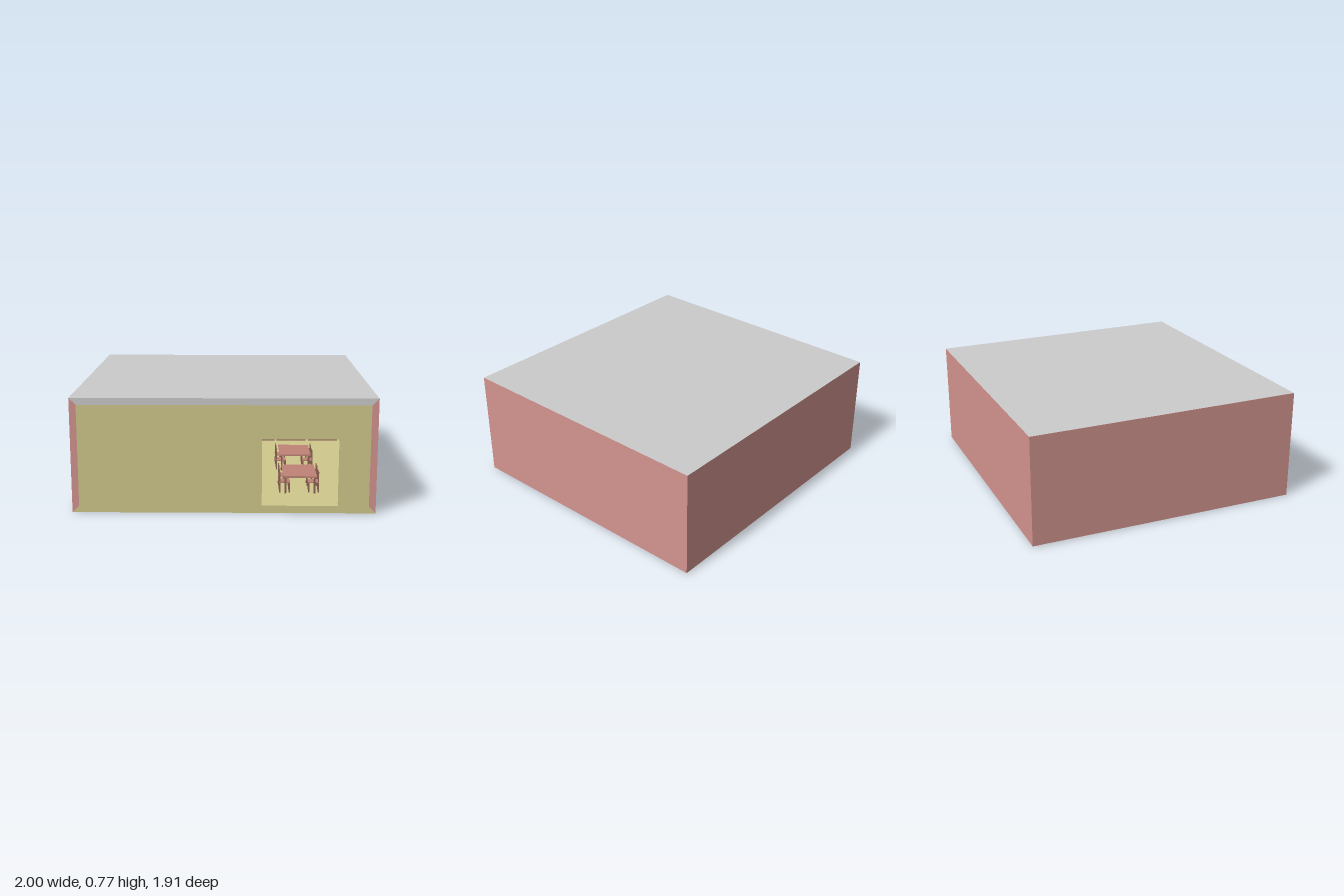
import * as THREE from 'three';
import { mergeGeometries } from 'three/addons/utils/BufferGeometryUtils.js';

const mat = (color) => new THREE.MeshStandardMaterial({ color, side: THREE.DoubleSide });
const PLAIN = mat(0xcccccc), PINK = mat(0xd49590), SAND = mat(0xd0c88c);
const WOOD = mat(0x8f6455), TOP = mat(0xc08478), DARK = mat(0x505860);
const BOOKS = [0x8fc49a, 0x8cc8d0, 0xc83c50, 0xa8b048, 0xb04c8c, 0xb8b8b8, 0xd89050, 0x58a878];

// Half width, height, half depth and wall thickness of the room
const W = 1, H = 0.77, D = 0.955, T = 0.045;

function add(parent, name, geometry, material) {
  const mesh = new THREE.Mesh(geometry, material);
  mesh.name = name;
  parent.add(mesh);
  return mesh;
}

function box(w, h, d, x, y, z) {
  return new THREE.BoxGeometry(w, h, d).translate(x, y, z);
}

// The room narrows very slightly towards the back
function taper(geometry) {
  const p = geometry.attributes.position;
  for (let i = 0; i < p.count; i++) {
    const t = (D - p.getZ(i)) / (2 * D);
    p.setX(i, p.getX(i) * (1 - 0.0065 * t));
    p.setY(i, H / 2 + (p.getY(i) - H / 2) * (1 - 0.02 * t));
  }
  geometry.computeVertexNormals();
  return geometry;
}

// Slab with mitred long edges, also mitred where it meets the back wall
function slab(points) {
  const shape = new THREE.Shape(points.map(([x, y]) => new THREE.Vector2(x, y)));
  const g = new THREE.ExtrudeGeometry(shape, { depth: 2 * D, bevelEnabled: false }).translate(0, 0, -D);
  const p = g.attributes.position;
  for (let i = 0; i < p.count; i++) {
    const inner = Math.abs(p.getX(i)) < W - T / 2 && Math.abs(p.getY(i) - H / 2) < H / 2 - T / 2;
    if (inner && p.getZ(i) < 0) p.setZ(i, -D + T);
  }
  return taper(g);
}

function buildShell(room) {
  const xi = W - T, yi = H - T;
  add(room, 'floor', slab([[-W, 0], [W, 0], [xi, T], [-xi, T]]), SAND);
  add(room, 'roof', slab([[-xi, yi], [xi, yi], [W, H], [-W, H]]), PLAIN);
  add(room, 'leftWall', slab([[W, 0], [W, H], [xi, yi], [xi, T]]), PINK);
  add(room, 'rightWall', slab([[-W, H], [-W, 0], [-xi, T], [-xi, yi]]), PINK);

  // Back wall, smaller on its inner side
  const back = box(2 * W, H, T, 0, H / 2, -D + T / 2);
  const p = back.attributes.position;
  for (let i = 0; i < p.count; i++) {
    if (p.getZ(i) < -D + T / 2) continue;
    p.setX(i, Math.sign(p.getX(i)) * xi);
    p.setY(i, p.getY(i) > H / 2 ? yi : T);
  }
  add(room, 'backWall', taper(back), PINK);

  // Front wall with the doorway
  const rect = (C, x0, y0, x1, y1) => new C([[x0, y0], [x1, y0], [x1, y1], [x0, y1]]
    .map(([x, y]) => new THREE.Vector2(x, y)));
  const front = rect(THREE.Shape, -xi, T, xi, yi);
  front.holes.push(rect(THREE.Path, 0.25, 0.05, 0.755, 0.5));
  add(room, 'frontWall', new THREE.ExtrudeGeometry(front, { depth: T, bevelEnabled: false })
    .translate(0, 0, D - T), SAND);
}

// One bookcase facing +z, with its back at z = 0
function buildBookcase() {
  const unit = new THREE.Group(), w = 0.245, d = 0.07;
  unit.name = 'bookcase';
  const planks = [[0.05, 0.07], [0.13, 0.145], [0.19, 0.23], [0.28, 0.315], [0.373, 0.385]];
  const frame = planks.map(([a, b]) => box(w, b - a, d, 0, (a + b) / 2, d / 2));
  for (const s of [-1, 1]) frame.push(box(0.01, 0.34, d, s * (w / 2 - 0.005), 0.215, d / 2));
  frame.push(box(w, 0.33, 0.005, 0, 0.215, 0.0025));
  add(unit, 'bookcaseFrame', mergeGeometries(frame), WOOD);

  // Rows of books, gathered by colour
  let seed = 7;
  const random = () => (seed = (seed * 16807) % 2147483647) / 2147483647;
  const sets = BOOKS.map(() => []);
  for (let r = 0; r < 4; r++) {
    const y0 = planks[r][1], space = planks[r + 1][0] - y0;
    for (let x = -w / 2 + 0.011; x < w / 2 - 0.02;) {
      const t = Math.min(0.012 + 0.012 * random(), w / 2 - 0.01 - x);
      const h = space * (0.9 + 0.1 * random());
      sets[Math.floor(random() * BOOKS.length)].push(box(t * 0.97, h, 0.05, x + t / 2, y0 + h / 2, 0.035));
      x += t;
    }
  }
  sets.forEach((s, i) => s.length && add(unit, 'books', mergeGeometries(s), mat(BOOKS[i])));
  return unit;
}

function buildTable() {
  const table = new THREE.Group();
  table.name = 'table';
  add(table, 'tableTop', box(0.23, 0.012, 0.3, 0, 0.167, 0), TOP);
  const legs = [];
  for (const x of [-0.1, 0.1]) for (const z of [-0.135, 0.135]) legs.push(box(0.012, 0.115, 0.012, x, 0.104, z));
  for (const x of [-0.1, 0.1]) legs.push(box(0.008, 0.014, 0.27, x, 0.154, 0));
  add(table, 'tableLegs', mergeGeometries(legs), WOOD);
  return table;
}

// Chair facing +x
function buildChair() {
  const chair = new THREE.Group();
  chair.name = 'chair';
  add(chair, 'chairSeat', box(0.075, 0.008, 0.075, 0, 0.12, 0), TOP);
  const bars = [];
  for (const z of [-0.033, 0.033]) {
    bars.push(box(0.008, 0.07, 0.008, 0.033, 0.082, z), box(0.008, 0.145, 0.008, -0.033, 0.12, z));
  }
  for (const y of [0.16, 0.185]) bars.push(box(0.006, 0.012, 0.066, -0.033, y, 0));
  add(chair, 'chairFrame', mergeGeometries(bars), WOOD);
  return chair;
}

function buildLamp() {
  const lamp = new THREE.Group();
  lamp.name = 'lamp';
  add(lamp, 'lampBowl', new THREE.SphereGeometry(0.046, 20, 10, 0, Math.PI * 2, Math.PI / 2, Math.PI / 2)
    .translate(0, 0.521, 0), DARK);
  add(lamp, 'lampCord', new THREE.CylinderGeometry(0.004, 0.004, 0.24, 8).translate(0, 0.6, 0), DARK);
  return lamp;
}

export function createModel() {
  const room = new THREE.Group();
  room.name = 'libraryRoom';
  buildShell(room);

  const place = (part, x, z, turn = 0) => {
    const copy = part.clone();
    copy.position.set(x, 0, z);
    copy.rotation.y = turn;
    room.add(copy);
  };

  // Bookcases along the back wall, then double rows running front to back
  const bookcase = buildBookcase();
  for (let i = -5; i <= 1; i++) place(bookcase, 0.542 + 0.265 * i, -0.9);
  for (const x of [0.07, -0.32, -0.71]) {
    for (let i = 0; i < 5; i++) {
      for (const s of [-1, 1]) place(bookcase, x, 0.56 - 0.265 * i, s * Math.PI / 2);
    }
  }

  // Reading tables with a chair on either side
  const table = buildTable(), chair = buildChair();
  for (const z of [0.53, -0.05]) {
    place(table, 0.52, z);
    for (const dz of [-0.08, 0.08]) {
      place(chair, 0.415, z + dz);
      place(chair, 0.615, z + dz, Math.PI);
    }
  }

  const lamp = buildLamp();
  for (const x of [0.505, -0.505]) place(lamp, x, 0.1);
  return room;
}
